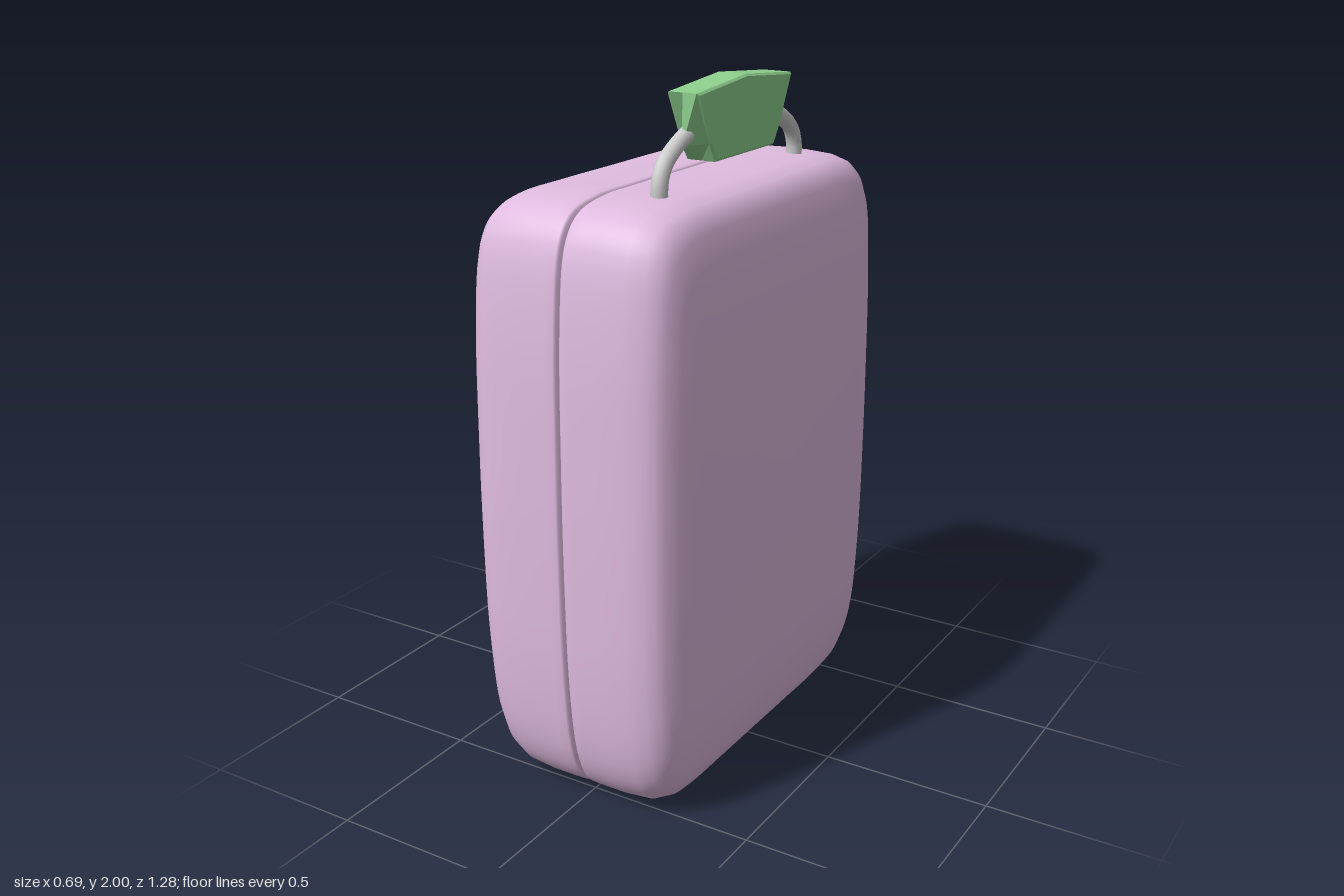
import * as THREE from 'three';

const PINK = 0xe0bce0, GREEN = 0x8ed08e, GREY = 0xcccccc;
const HANDLE_X = 0.146;

// Skin a list of rings (arrays of [x, y, z], all the same length)
function loft(rings, flip = false) {
  const n = rings[0].length, index = [];
  for (let r = 0; r < rings.length - 1; r++) {
    for (let i = 0; i < n; i++) {
      const a = r * n + i, b = r * n + (i + 1) % n, c = a + n, d = b + n;
      if (flip) index.push(a, c, b, b, c, d);
      else index.push(a, b, c, b, d, c);
    }
  }
  const geo = new THREE.BufferGeometry();
  geo.setAttribute('position', new THREE.Float32BufferAttribute(rings.flat(2), 3));
  geo.setIndex(index);
  geo.computeVertexNormals();
  return geo;
}

function addMesh(parent, name, geo, color, options = {}) {
  const mesh = new THREE.Mesh(geo, new THREE.MeshStandardMaterial({ color, ...options }));
  mesh.name = name;
  parent.add(mesh);
  return mesh;
}

// Unit outline of the case in (z, y): tighter corners on top, softer below
function caseOutline() {
  const half = [[0, 1], [0.4, 1], [0.7, 0.994], [0.86, 0.96], [0.94, 0.88], [0.984, 0.65], [1, 0.2],
    [1, -0.15], [0.984, -0.54], [0.94, -0.8], [0.875, -0.915], [0.78, -0.975], [0.62, -0.997], [0.3, -1], [0, -1]];
  const mirrored = half.slice(1, -1).reverse().map(([z, y]) => [-z, y]);
  const points = [...half, ...mirrored].map(([z, y]) => new THREE.Vector3(0, y, z));
  return new THREE.CatmullRomCurve3(points, true, 'centripetal').getPoints(112).slice(0, -1);
}

// One half of the case, from the seam groove to its flat outer side
function shellGeometry(side, outline) {
  // x, half depth, top, bottom
  const rows = [
    [0, 0.622, 1.712, 0.023], [0.003, 0.626, 1.716, 0.019],
    [0.006, 0.635, 1.725, 0.01], [0.012, 0.64, 1.73, 0.004],
    [0.04, 0.641, 1.731, 0.003], [0.12, 0.641, 1.73, 0.003], [0.2, 0.638, 1.725, 0.01],
    [0.25, 0.627, 1.712, 0.035], [0.28, 0.61, 1.69, 0.075], [0.3, 0.59, 1.653, 0.12],
    [0.32, 0.55, 1.585, 0.205], [0.331, 0.51, 1.49, 0.295], [0.338, 0.46, 1.38, 0.42],
    [0.343, 0.35, 1.17, 0.62], [0.345, 0.18, 1.02, 0.77], [0.345, 0, 0.9, 0.9],
  ];
  const rings = rows.map(([x, hz, top, bottom]) =>
    outline.map(p => [side * x, (top + bottom) / 2 + p.y * (top - bottom) / 2, p.z * hz]));
  return loft(rings, side < 0);
}

// Faceted grip: tented top, slanted ends that bulge towards the rods
function gripGeometry() {
  const section = (x, kink, inset) => {
    const right = [[0, 2], [0.255 - inset, 1.978 - inset], [kink, 1.84], [0.16 - inset, 1.788 + inset]];
    const left = right.slice(1).reverse().map(([z, y]) => [-z, y]);
    return [...right, ...left].map(([z, y]) => [x, z === 0 ? y - inset : y, z]);
  };
  const sections = [section(0.098, 0.185, 0.006), section(0.104, 0.19, 0), section(HANDLE_X, 0.256, 0),
    section(0.188, 0.19, 0), section(0.194, 0.185, 0.006)];
  // Close both sides by shrinking to a point
  const cap = x => sections[0].map(() => [x, 1.89, 0]);
  return loft([cap(0.098), ...sections, cap(0.194)]);
}

export function createModel() {
  const model = new THREE.Group();
  model.name = 'suitcase';

  // Case halves
  const outline = caseOutline();
  addMesh(model, 'leftShell', shellGeometry(1, outline), PINK);
  addMesh(model, 'rightShell', shellGeometry(-1, outline), PINK);

  // Handle
  const handle = new THREE.Group();
  handle.name = 'handle';
  model.add(handle);
  addMesh(handle, 'grip', gripGeometry(), GREEN, { flatShading: true });
  for (const s of [1, -1]) {
    const path = new THREE.CatmullRomCurve3([[1.7, 0.368], [1.76, 0.367], [1.805, 0.345], [1.838, 0.3], [1.862, 0.25], [1.88, 0.2]]
      .map(([y, z]) => new THREE.Vector3(HANDLE_X, y, s * z)));
    addMesh(handle, s > 0 ? 'frontRod' : 'backRod', new THREE.TubeGeometry(path, 16, 0.023, 12), GREY);
  }
  return model;
}
